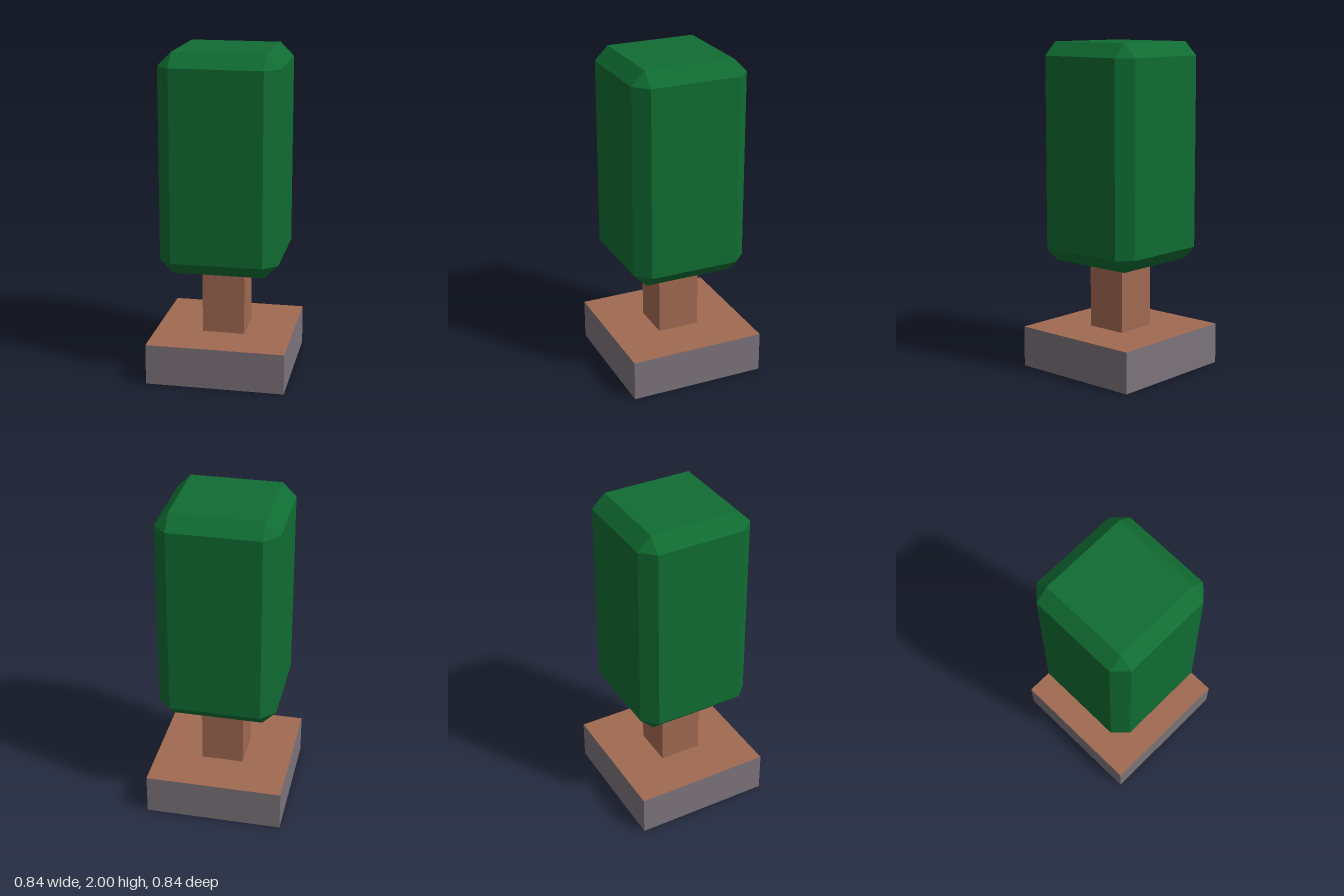
import * as THREE from 'three';
import { ConvexGeometry } from 'three/addons/geometries/ConvexGeometry.js';

const style = { flatShading: true, side: THREE.DoubleSide };
const leafGreen = new THREE.MeshStandardMaterial({ color: 0x106c32, ...style });
const earthBrown = new THREE.MeshStandardMaterial({ color: 0xa06951, ...style });
const stoneGrey = new THREE.MeshStandardMaterial({ color: 0x7b737a, ...style });
leafGreen.name = 'leafGreen';
earthBrown.name = 'earthBrown';
stoneGrey.name = 'stoneGrey';

// Square tube without end caps, standing between two heights
function squareTube(half, bottom, top) {
  const r = half * Math.SQRT2;
  return new THREE.CylinderGeometry(r, r, top - bottom, 4, 1, true)
    .rotateY(Math.PI / 4)
    .translate(0, (bottom + top) / 2, 0);
}

function squarePoints(half) {
  return [[-1, -1], [1, -1], [1, 1], [-1, 1]].map(([x, y]) => new THREE.Vector2(x * half, y * half));
}

// Box with every edge and corner cut off
function chamferedBox(hx, hy, hz, cut) {
  const points = [];
  for (const sx of [-1, 1]) for (const sy of [-1, 1]) for (const sz of [-1, 1]) {
    points.push(
      new THREE.Vector3(sx * hx, sy * (hy - cut), sz * (hz - cut)),
      new THREE.Vector3(sx * (hx - cut), sy * hy, sz * (hz - cut)),
      new THREE.Vector3(sx * (hx - cut), sy * (hy - cut), sz * hz),
    );
  }
  return new ConvexGeometry(points);
}

export function createModel() {
  const model = new THREE.Group();
  model.name = 'pottedTree';
  const add = (name, geometry, material) => {
    const mesh = new THREE.Mesh(geometry, material);
    mesh.name = name;
    model.add(mesh);
  };

  const potHalf = 0.422, potTop = 0.25, trunkHalf = 0.13;
  const crownBottom = 0.67, crownTop = 2;

  // Planter walls, open underneath
  add('planterWalls', squareTube(potHalf, 0, potTop), stoneGrey);

  // Soil sheet with an opening under the hollow trunk
  const soil = new THREE.Shape(squarePoints(potHalf));
  soil.holes.push(new THREE.Path(squarePoints(trunkHalf)));
  add('soil', new THREE.ShapeGeometry(soil).rotateX(-Math.PI / 2).translate(0, potTop, 0), earthBrown);

  add('trunk', squareTube(trunkHalf, potTop, crownBottom), earthBrown);

  // Clipped block of leaves
  const crownHalf = (crownTop - crownBottom) / 2;
  const crown = chamferedBox(0.359, crownHalf, 0.359, 0.083);
  add('crown', crown.translate(0, crownBottom + crownHalf, 0), leafGreen);

  return model;
}
